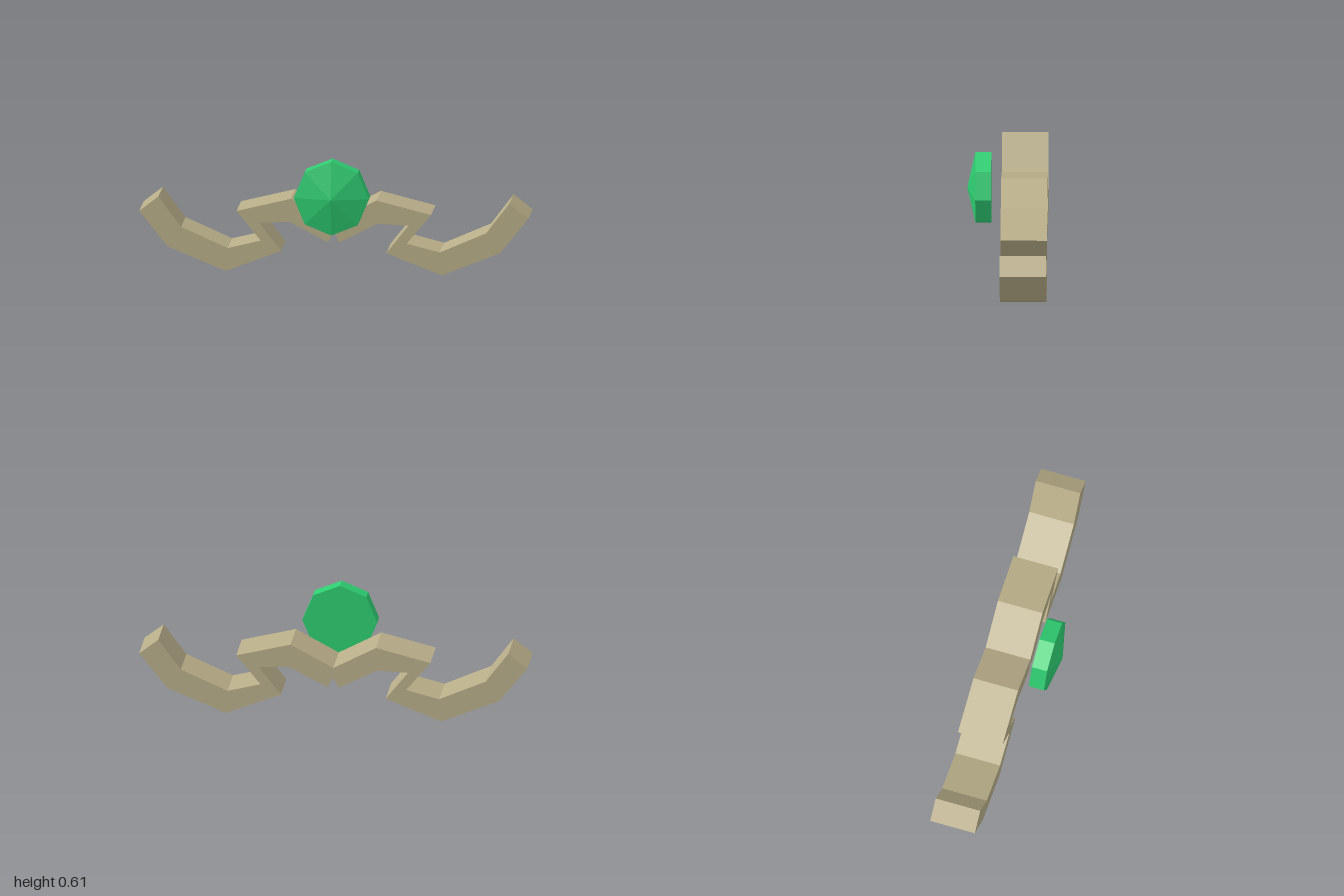
import * as THREE from 'three';

export function createModel() {
  const model = new THREE.Group();

  // Bent zigzag band: right half outline, from the lower notch round to the top valley
  const half = [
    [0, 0.22], [0.03, 0.166], [0.225, 0.268], [0.385, 0.262], [0.27, 0.116],
    [0.555, 0.005], [0.855, 0.128], [1, 0.31], [0.902, 0.387], [0.785, 0.231],
    [0.545, 0.125], [0.375, 0.168], [0.5, 0.32], [0.22, 0.39], [0, 0.272],
  ];
  const mirrored = half.slice(1, -1).reverse().map(([x, y]) => [-x, y]);
  const outline = [...half, ...mirrored].map(([x, y]) => new THREE.Vector2(x, y));
  const bandGeometry = new THREE.ExtrudeGeometry(new THREE.Shape(outline), {
    depth: 0.238, bevelEnabled: false,
  });
  const band = new THREE.Mesh(
    bandGeometry,
    new THREE.MeshStandardMaterial({ color: 0xb8ad88, flatShading: true }),
  );
  band.name = 'zigzagBand';
  band.position.z = -0.205;
  model.add(band);

  // Eight-sided gem: flat back, straight rim, shallow pointed front
  const profile = [[0, 0.082], [0.193, 0.082], [0.193, 0.163], [0, 0.205]]
    .map(([r, z]) => new THREE.Vector2(r, z));
  const gem = new THREE.Mesh(
    new THREE.LatheGeometry(profile, 8).rotateX(Math.PI / 2),
    new THREE.MeshStandardMaterial({ color: 0x2ecc71, flatShading: true }),
  );
  gem.name = 'gem';
  gem.position.y = 0.423;
  model.add(gem);

  return model;
}
